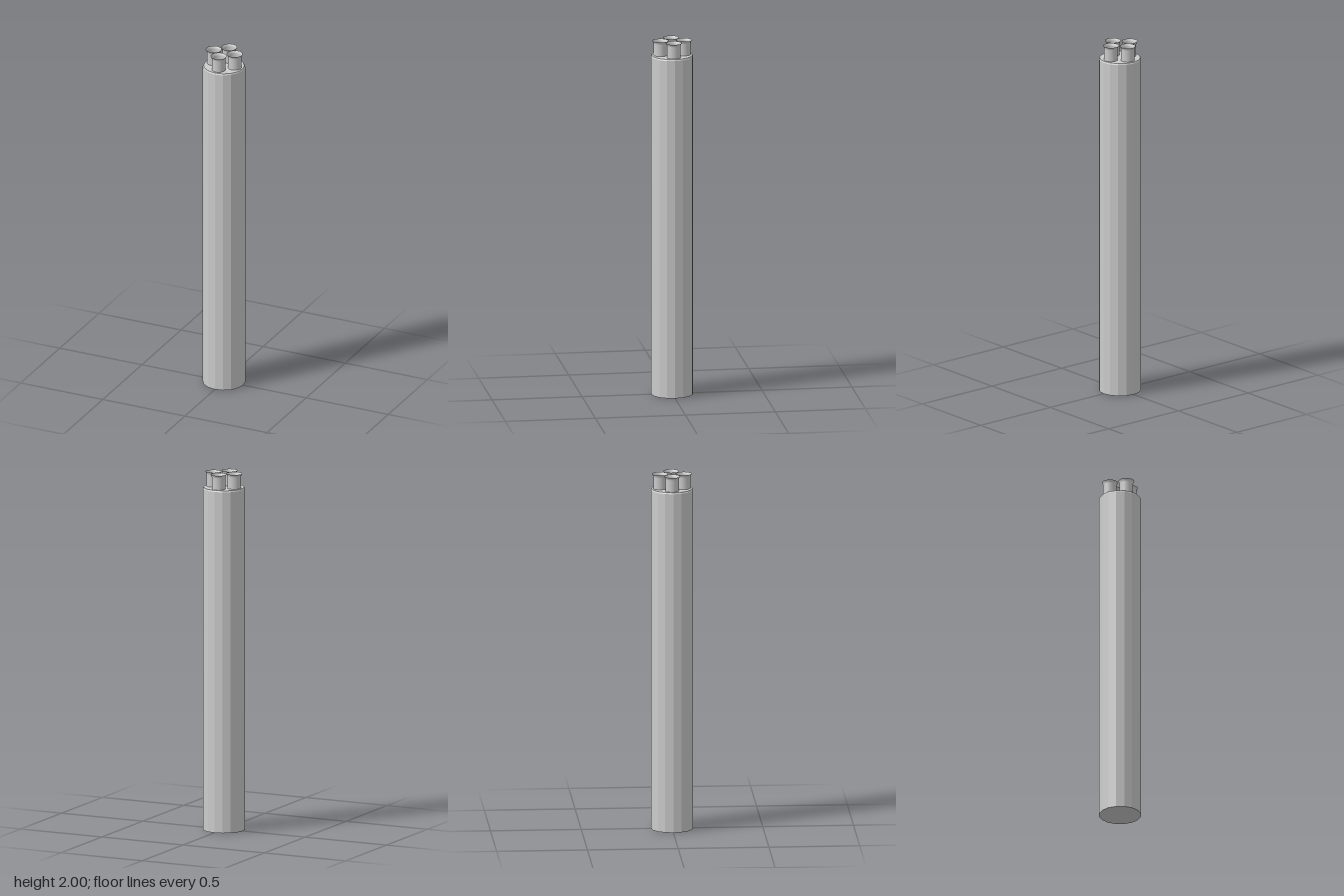
import * as THREE from 'three';

export function createModel() {
  const model = new THREE.Group();
  const flat = new THREE.MeshStandardMaterial({ color: 0xcccccc, flatShading: true });
  const thin = new THREE.MeshStandardMaterial({ color: 0xcccccc, side: THREE.DoubleSide });

  const add = (name, geometry, material, x = 0, y = 0, z = 0) => {
    const mesh = new THREE.Mesh(geometry, material);
    mesh.name = name;
    mesh.position.set(x, y, z);
    model.add(mesh);
  };
  const points = (list) => list.map(([r, y]) => new THREE.Vector2(r, y));

  // Sixteen-sided stack with a closed base and a slim bevelled top edge
  const stack = points([[0, 0], [0.117, 0], [0.117, 1.91], [0.113, 1.918], [0, 1.918]]);
  add('stack', new THREE.LatheGeometry(stack, 16), flat);

  // Four open flue pipes, each with a short flared lip
  const pipe = points([[0.037, 0], [0.037, 0.068], [0.039, 0.076], [0.044, 0.085]]);
  const pipeGeometry = new THREE.LatheGeometry(pipe, 32);
  const flues = [
    ['backFlue', 0, -0.066],
    ['rightFlue', -0.065, -0.004],
    ['leftFlue', 0.065, 0],
    ['frontFlue', -0.002, 0.064],
  ];
  for (const [name, x, z] of flues) add(name, pipeGeometry, thin, x, 1.915, z);

  return model;
}
